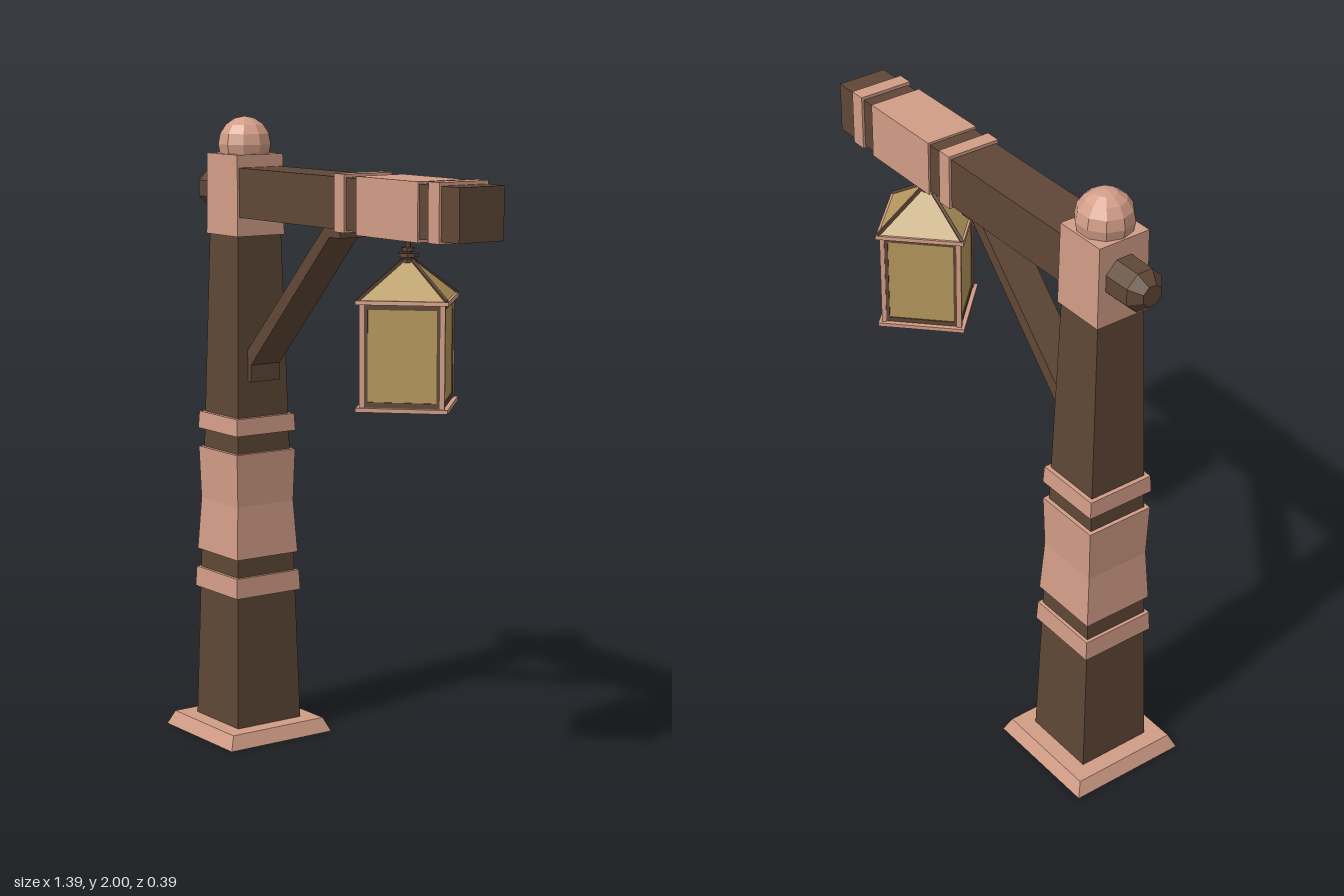
import * as THREE from 'three';

export function createModel() {
  const mat = (name, color) => {
    const m = new THREE.MeshStandardMaterial({ color, flatShading: true });
    m.name = name;
    return m;
  };
  const stone = mat('pink trim', 0xd29d87);
  const wood = mat('dark wood', 0x5f4736);
  const glass = mat('amber glass', 0xb6985c);

  const model = new THREE.Group();
  model.name = 'lanternPost';
  const add = (parent, name, geometry, material, x = 0, y = 0, z = 0) => {
    const mesh = new THREE.Mesh(geometry, material);
    mesh.name = name;
    mesh.position.set(x, y, z);
    parent.add(mesh);
    return mesh;
  };
  const box = (parent, name, material, x0, x1, y0, y1, halfZ) => add(parent, name,
    new THREE.BoxGeometry(x1 - x0, y1 - y0, halfZ * 2), material, (x0 + x1) / 2, (y0 + y1) / 2);
  // square tapered block from y0 to y1, given the half widths
  const taper = (parent, name, material, y0, y1, half0, half1) => add(parent, name,
    new THREE.CylinderGeometry(half1 * Math.SQRT2, half0 * Math.SQRT2, y1 - y0, 4).rotateY(Math.PI / 4),
    material, 0, (y0 + y1) / 2);

  // upright post with its bands, waisted sleeve, cap and ball
  const post = new THREE.Group();
  post.name = 'post';
  post.position.x = -0.49;
  model.add(post);
  taper(post, 'base', stone, 0, 0.045, 0.195, 0.175);
  taper(post, 'shaft', wood, 0.04, 1.65, 0.122, 0.081);
  taper(post, 'lowerBand', stone, 0.475, 0.54, 0.123, 0.12);
  taper(post, 'sleeveBottom', stone, 0.6, 0.77, 0.117, 0.107);
  taper(post, 'sleeveTop', stone, 0.77, 0.94, 0.107, 0.112);
  taper(post, 'upperBand', stone, 1.0, 1.055, 0.113, 0.11);
  taper(post, 'capBlock', stone, 1.63, 1.885, 0.089, 0.086);
  add(post, 'ball', new THREE.SphereGeometry(0.087, 10, 8), stone, 0, 1.914);

  // cross beam and its sleeves
  const beam = new THREE.Group();
  beam.name = 'beam';
  model.add(beam);
  box(beam, 'beamBar', wood, -0.45, 0.695, 1.69, 1.845, 0.08);
  box(beam, 'innerBand', stone, 0.115, 0.165, 1.683, 1.855, 0.088);
  box(beam, 'beamSleeve', stone, 0.222, 0.515, 1.68, 1.852, 0.086);
  box(beam, 'outerBand', stone, 0.565, 0.615, 1.683, 1.855, 0.088);

  // blunt rounded peg behind the post
  const pegPart = (name, x0, x1, r0, r1) => add(beam, name,
    new THREE.CylinderGeometry(r1, r0, x0 - x1, 8).rotateY(Math.PI / 8).rotateZ(Math.PI / 2),
    wood, (x0 + x1) / 2, 1.768);
  pegPart('pegBody', -0.54, -0.665, 0.068, 0.066);
  pegPart('pegTip', -0.665, -0.7, 0.066, 0.034);

  // diagonal brace with flat feet
  const outline = [[-0.41, 1.17], [-0.38, 1.17], [-0.38, 1.225], [0.045, 1.66],
    [0.1, 1.66], [0.1, 1.695], [0.025, 1.695], [-0.41, 1.26]];
  const brace = new THREE.Shape(outline.map(([x, y]) => new THREE.Vector2(x, y)));
  add(model, 'brace', new THREE.ExtrudeGeometry(brace, { depth: 0.11, bevelEnabled: false }),
    wood, 0, 0, -0.055);

  // hanging lantern, turned corner-on
  const lantern = new THREE.Group();
  lantern.name = 'lantern';
  lantern.position.x = 0.36;
  lantern.rotation.y = Math.PI / 4;
  model.add(lantern);
  taper(lantern, 'glassBody', glass, 1.186, 1.5, 0.118, 0.118);
  taper(lantern, 'roof', glass, 1.508, 1.615, 0.128, 0.014);
  taper(lantern, 'eaves', stone, 1.497, 1.509, 0.135, 0.134);
  for (let i = 0; i < 4; i++) {
    const side = new THREE.Group();
    side.name = 'lanternSide';
    side.rotation.y = i * Math.PI / 2;
    lantern.add(side);
    add(side, 'cornerPost', new THREE.BoxGeometry(0.014, 0.31, 0.014), stone, 0.117, 1.345, 0.117);
    add(side, 'bottomRail', new THREE.BoxGeometry(0.268, 0.012, 0.018), stone, 0, 1.192, 0.125);
    for (const y of [1.207, 1.489]) {
      add(side, 'panelRail', new THREE.BoxGeometry(0.22, 0.014, 0.005), wood, 0, y, 0.119);
    }
    for (const x of [-0.105, 0.105]) {
      add(side, 'panelStile', new THREE.BoxGeometry(0.01, 0.28, 0.005), wood, x, 1.348, 0.119);
    }
    // roof ridge running down to the corner
    const top = new THREE.Vector3(0.014, 1.615, 0.014);
    const low = new THREE.Vector3(0.129, 1.509, 0.129);
    const ridge = add(side, 'roofRidge',
      new THREE.BoxGeometry(0.009, 0.009, top.distanceTo(low)), wood);
    ridge.position.copy(top).add(low).multiplyScalar(0.5);
    ridge.quaternion.setFromUnitVectors(new THREE.Vector3(0, 0, 1), low.clone().sub(top).normalize());
  }
  // finial rings and hanging rod
  [[1.613, 0.024], [1.63, 0.03], [1.646, 0.02]].forEach(([y, r]) =>
    add(lantern, 'finialRing', new THREE.CylinderGeometry(r, r, 0.011, 8), wood, 0, y));
  add(lantern, 'hangingRod', new THREE.CylinderGeometry(0.006, 0.012, 0.09, 8), wood, 0, 1.65);

  return model;
}
